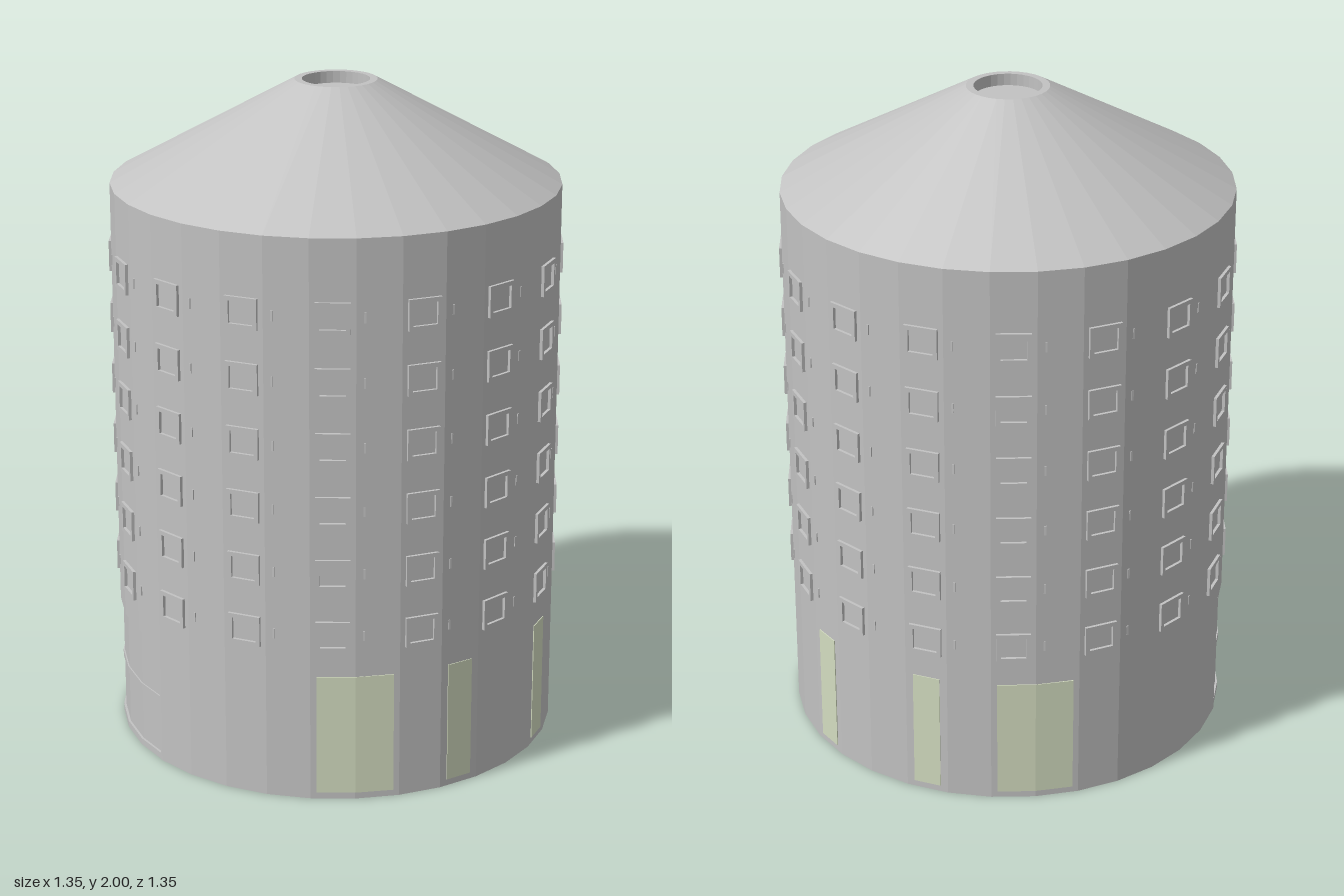
import * as THREE from 'three';

const SIDES = 32;
const STEP = (Math.PI * 2) / SIDES;
const R = 0.668;
const APOTHEM = R * Math.cos(STEP / 2);
const WALL_TOP = 1.7;
const GROUND = 0.4;
const rad = THREE.MathUtils.degToRad;

const stone = new THREE.MeshStandardMaterial({ color: 0xc2c2c2, flatShading: true, side: THREE.DoubleSide });
stone.name = 'grey stone';
const glass = new THREE.MeshStandardMaterial({ color: 0xd3dcc0, flatShading: true });
glass.name = 'pale green glass';

function mesh(name, geometry, material = stone) {
  const m = new THREE.Mesh(geometry, material);
  m.name = name;
  return m;
}

// Azimuth runs from +z towards +x; shapes are drawn flat and turned to lie in xz.
const polar = (r, a) => new THREE.Vector2(r * Math.sin(a), -r * Math.cos(a));

function arcPoints(r0, r1, a0, a1, n) {
  const outer = [], inner = [];
  for (let i = 0; i <= n; i++) {
    const a = a0 + ((a1 - a0) * i) / n;
    outer.push(polar(r1, a));
    inner.unshift(polar(r0, a));
  }
  return [...outer, ...inner];
}

function slab(shape, y0, y1) {
  const g = new THREE.ExtrudeGeometry(shape, { depth: y1 - y0, bevelEnabled: false });
  g.rotateX(-Math.PI / 2);
  g.translate(0, y0, 0);
  return g;
}

const arcBand = (r0, r1, a0, a1, n, y0, y1) =>
  slab(new THREE.Shape(arcPoints(r0, r1, a0, a1, n)), y0, y1);

function openWall(y0, y1, start = 0, count = SIDES) {
  const g = new THREE.CylinderGeometry(R, R, y1 - y0, count, 1, true, start * STEP, count * STEP);
  g.translate(0, (y0 + y1) / 2, 0);
  return g;
}

// Turns an object to face outwards from the centre of a wall facet.
function onFacet(object, facet, y) {
  const a = (facet + 0.5) * STEP;
  object.position.set(APOTHEM * Math.sin(a), y, APOTHEM * Math.cos(a));
  object.rotation.y = a;
  return object;
}

function windowFrameGeometry(w, h, t, depth) {
  const rect = (a, b) => [[-a, -b], [a, -b], [a, b], [-a, b]].map(([x, y]) => new THREE.Vector2(x, y));
  const s = new THREE.Shape(rect(w / 2, h / 2));
  s.holes.push(new THREE.Path(rect(w / 2 - t, h / 2 - t)));
  return new THREE.ExtrudeGeometry(s, { depth, bevelEnabled: false });
}

export function createModel() {
  const model = new THREE.Group();
  model.name = 'roundTower';

  // Walls: the ground storey leaves five facets open for the gate
  const gateStart = 20, gateCount = 5;
  model.add(mesh('upperWall', openWall(GROUND, WALL_TOP)));
  model.add(mesh('groundWall', openWall(0, GROUND, gateStart + gateCount, SIDES - gateCount)));

  // Gate: two slightly recessed curved panels, a rail and a surround
  const g0 = gateStart * STEP, g1 = (gateStart + gateCount) * STEP, edge = 0.012;
  const gate = new THREE.Group();
  gate.name = 'gate';
  gate.add(mesh('gatePanel', arcBand(0.64, 0.66, g0, g1, gateCount, 0, GROUND)));
  gate.add(mesh('gateRail', arcBand(0.65, 0.664, g0, g1, gateCount, 0.185, 0.205)));
  gate.add(mesh('gateLintel', arcBand(0.64, R, g0, g1, gateCount, GROUND - 0.02, GROUND)));
  gate.add(mesh('gateJamb', arcBand(0.64, R, g0, g0 + edge, 1, 0, GROUND)));
  gate.add(mesh('gateJamb', arcBand(0.64, R, g1 - edge, g1, 1, 0, GROUND)));
  model.add(gate);

  // Conical roof with a shallow round opening at the top
  const profile = [[R, WALL_TOP], [0.122, 2], [0.1, 2], [0.1, 1.965], [0, 1.965]];
  model.add(mesh('roof', new THREE.LatheGeometry(profile.map(([x, y]) => new THREE.Vector2(x, y)), SIDES)));

  // Floor with four curved slots
  const floor = new THREE.Shape(Array.from({ length: SIDES }, (_, i) => polar(R - 0.001, i * STEP)));
  for (const [a, b] of [[148, 215], [294, 346], [24, 55], [78, 112]]) {
    floor.holes.push(new THREE.Path(arcPoints(0.26, 0.295, rad(a), rad(b), 8)));
  }
  model.add(mesh('floor', slab(floor, 0, 0.02)));

  // Windows: six rows on every other facet, each with a small latch beside it
  const frame = windowFrameGeometry(0.1, 0.092, 0.013, 0.009);
  const latch = new THREE.BoxGeometry(0.006, 0.03, 0.012);
  for (let row = 0; row < 6; row++) {
    for (let facet = 1; facet < SIDES; facet += 2) {
      const win = new THREE.Group();
      win.name = 'window';
      win.add(mesh('windowFrame', frame));
      const l = mesh('windowLatch', latch);
      l.position.set(0.09, 0, -0.008);
      win.add(l);
      model.add(onFacet(win, facet, 0.517 + row * 0.191));
    }
  }

  // Narrow glass doors
  const narrow = new THREE.BoxGeometry(0.084, 0.37, 0.005);
  for (const facet of [0, 3, 8, 11]) model.add(onFacet(mesh('narrowDoor', narrow, glass), facet, 0.205));

  // Wide glass doors, each bent across two facets
  for (const first of [13, 29]) {
    const a = (first + 1) * STEP, half = rad(9.7);
    model.add(mesh('wideDoor', arcBand(R - 0.004, R + 0.002, a - half, a + half, 2, 0.02, 0.39), glass));
  }
  return model;
}
